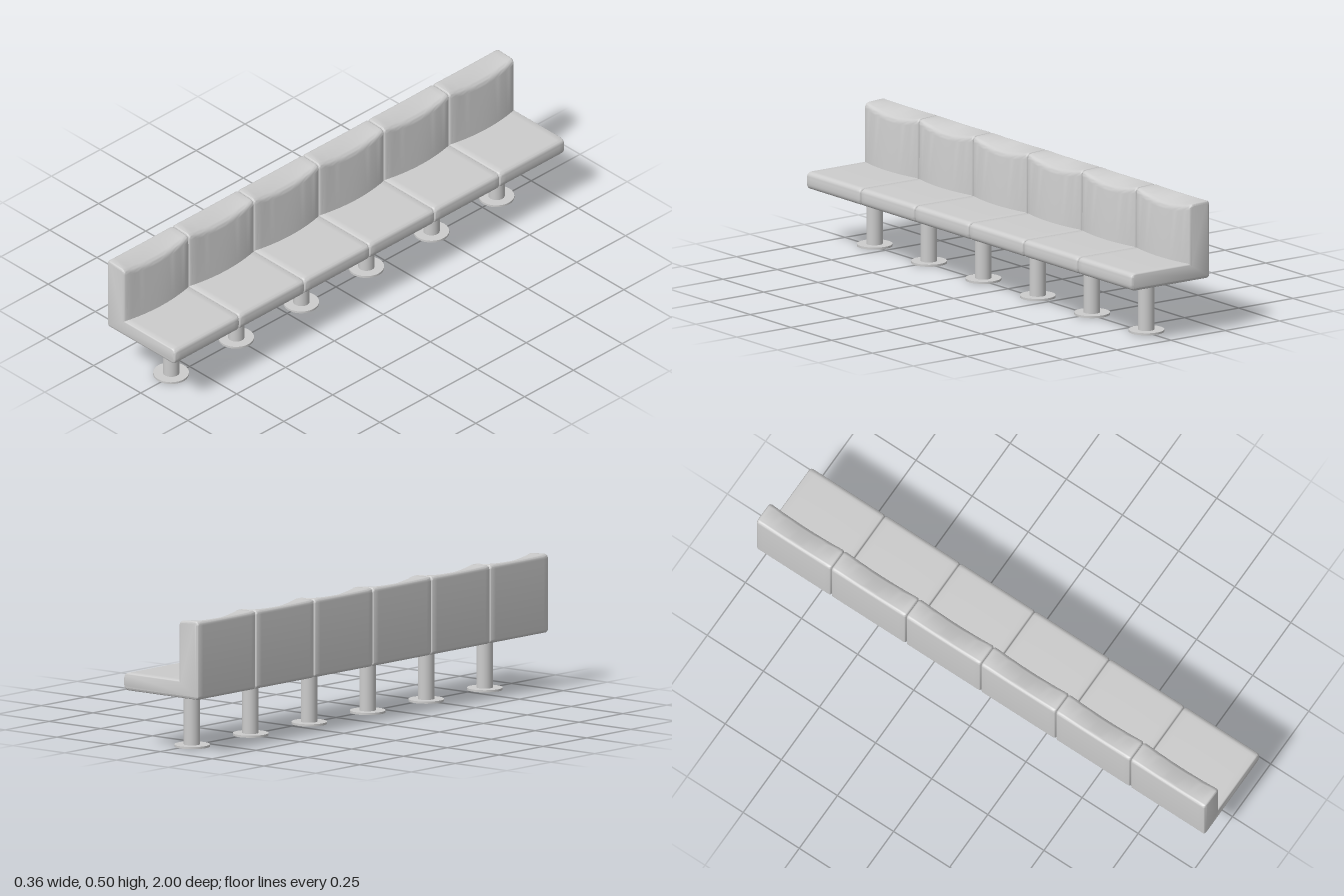
import * as THREE from 'three';
import { toCreasedNormals } from 'three/addons/utils/BufferGeometryUtils.js';

const COUNT = 6;
const PITCH = 2 / COUNT;
const WIDTH = PITCH - 0.001;
const BEVEL = 0.01;
const TOP = 0.505, SEAT_TOP = 0.276, BOTTOM = 0.21;
const BACK = -0.181, FRONT = 0.181, REST_FRONT = -0.087;

// Closed outline from corners [x, y, radius]
function roundedOutline(corners) {
  const shape = new THREE.Shape();
  const n = corners.length;
  corners.forEach(([x, y, r], i) => {
    const p = new THREE.Vector2(x, y);
    const toward = ([qx, qy]) => new THREE.Vector2(qx, qy).sub(p).setLength(r).add(p);
    const a = toward(corners[(i + n - 1) % n]);
    const b = toward(corners[(i + 1) % n]);
    if (i === 0) shape.moveTo(a.x, a.y);
    else shape.lineTo(a.x, a.y);
    if (r > 0) shape.quadraticCurveTo(x, y, b.x, b.y);
  });
  shape.closePath();
  return shape;
}

// One-piece seat and backrest, with a bulging lower back and a dipped top edge
function seatGeometry() {
  const outline = roundedOutline([
    [BACK, BOTTOM, 0.014],
    [FRONT, BOTTOM, 0.024],
    [FRONT, SEAT_TOP, 0.024],
    [REST_FRONT, SEAT_TOP, 0],
    [REST_FRONT, TOP - 0.003, 0.022],
    [BACK, TOP, 0.018],
  ]);
  const geo = new THREE.ExtrudeGeometry(outline, {
    depth: WIDTH - 2 * BEVEL, steps: 16, curveSegments: 6,
    bevelEnabled: true, bevelSize: BEVEL, bevelThickness: BEVEL,
    bevelOffset: -BEVEL, bevelSegments: 4,
  });
  geo.translate(0, 0, -WIDTH / 2 + BEVEL);

  const pos = geo.attributes.position;
  for (let i = 0; i < pos.count; i++) {
    const x = pos.getX(i), y = pos.getY(i), z = pos.getZ(i);
    const middle = Math.max(0, 1 - (2 * z / WIDTH) ** 2);
    const forward = THREE.MathUtils.clamp((x - BACK) / (REST_FRONT - BACK), 0, 1);
    const height = (y - SEAT_TOP) / (TOP - SEAT_TOP);
    if (x < REST_FRONT + 0.005 && height > -0.06) {
      if (forward > 0.6) pos.setX(i, x + 0.02 * middle * Math.min(1, 1 - height));
      if (height > 0.5) pos.setY(i, y - 0.024 * middle * forward);
    }
  }
  return toCreasedNormals(geo, 0.6);
}

export function createModel() {
  const model = new THREE.Group();
  model.name = 'benchRow';
  const material = new THREE.MeshStandardMaterial({ color: 0xcccccc });

  const seat = seatGeometry();
  const post = new THREE.CylinderGeometry(0.0305, 0.0305, 0.21, 32);
  const foot = new THREE.CylinderGeometry(0.066, 0.066, 0.008, 40);

  for (let i = 0; i < COUNT; i++) {
    const unit = new THREE.Group();
    unit.name = `seatUnit${i + 1}`;
    unit.position.z = -1 + PITCH * (i + 0.5);
    const add = (name, geometry, x, y) => {
      const mesh = new THREE.Mesh(geometry, material);
      mesh.name = name;
      mesh.position.set(x, y, 0);
      unit.add(mesh);
    };
    add('seatAndBackrest', seat, 0, 0);
    add('post', post, -0.011, 0.11);
    add('footPlate', foot, -0.012, 0.004);
    model.add(unit);
  }
  return model;
}
